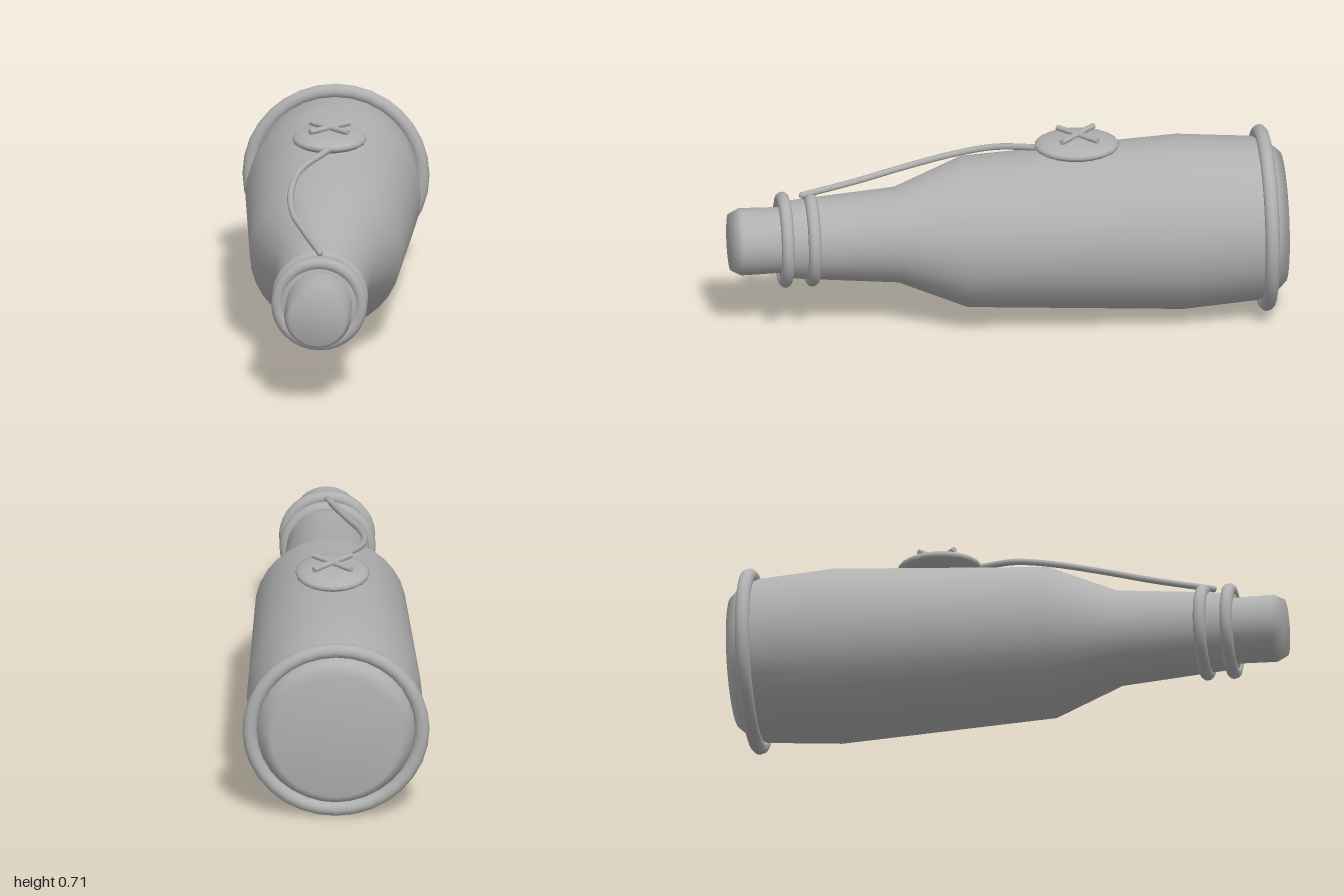
import * as THREE from 'three';

const AXIS_Y = 0.337;

export function createModel() {
  const group = new THREE.Group();
  const grey = new THREE.MeshStandardMaterial({ color: 0xb0b0b0 });
  grey.name = 'plain grey';

  const add = (name, geometry, x = 0, y = 0, z = 0) => {
    const mesh = new THREE.Mesh(geometry, grey);
    mesh.name = name;
    mesh.position.set(x, y, z);
    group.add(mesh);
    return mesh;
  };

  // Turned parts lie along z; profiles are [radius, z] pairs from back to front
  const turned = (name, profile, sides) => add(name,
    new THREE.LatheGeometry(profile.map(([r, z]) => new THREE.Vector2(r, z)), sides).rotateX(Math.PI / 2),
    0, AXIS_Y, 0);

  // Bottle body with shoulder, neck and bevelled base
  turned('bottleBody', [
    [0, -1], [0.235, -1], [0.272, -0.96], [0.295, -0.9], [0.315, -0.63],
    [0.272, 0.15], [0.172, 0.395], [0.14, 0.78], [0.136, 0.818], [0, 0.818],
  ], 32);

  // Stopper in the mouth
  turned('stopper', [
    [0.118, 0.8], [0.121, 0.96], [0.102, 0.998], [0, 1],
  ], 32);

  // Base ring and the two neck rings
  const rings = [
    ['baseRing', 0.31, 0.026, -0.93],
    ['rearNeckRing', 0.15, 0.023, 0.705],
    ['frontNeckRing', 0.15, 0.023, 0.802],
  ];
  for (const [name, radius, tube, z] of rings) {
    add(name, new THREE.TorusGeometry(radius, tube, 12, 32), 0, AXIS_Y, z);
  }

  // Flattened seal on top of the body
  add('seal', new THREE.SphereGeometry(1, 20, 12).scale(0.134, 0.035, 0.153), 0, 0.656, -0.257);

  // Crossed rods on the seal
  for (const side of [-1, 1]) {
    const rod = add('crossRod', new THREE.CylinderGeometry(0.0105, 0.0105, 0.188, 10).rotateX(Math.PI / 2),
      0, 0.697, -0.26);
    rod.rotation.y = side * 0.81;
  }

  // Cord from the neck ring round the shoulder to the seal
  const path = new THREE.CatmullRomCurve3([
    [0, 0.508, 0.735], [-0.062, 0.527, 0.53], [-0.113, 0.553, 0.345],
    [-0.121, 0.59, 0.17], [-0.092, 0.622, 0.03], [0, 0.652, -0.12],
  ].map((p) => new THREE.Vector3(...p)));
  add('cord', new THREE.TubeGeometry(path, 36, 0.012, 8));

  // Closed tips of the cord
  for (const t of [0, 1]) {
    const p = path.getPoint(t);
    add('cordTip', new THREE.SphereGeometry(0.012, 8, 6), p.x, p.y, p.z);
  }

  return group;
}
